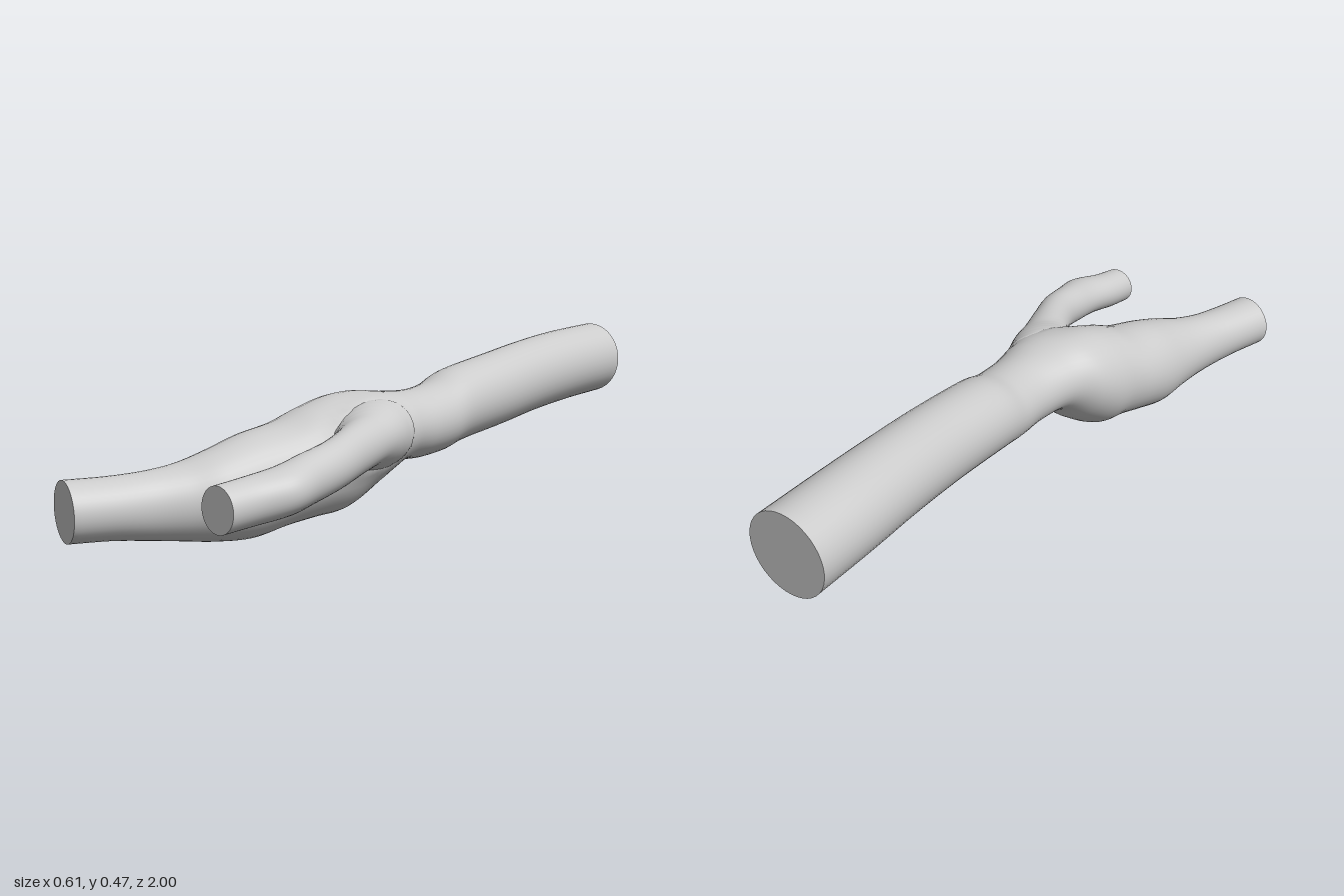
import * as THREE from 'three';

const SIDES = 40, STEPS = 110, BLEND = 0.07;

// Stations along each vessel: x, y, z, half width, half height, yaw
const TRUNK = [
  [-.067, .358, -1, .113, .113, 0], [-.055, .348, -.8, .112, .113, 0],
  [-.037, .332, -.6, .108, .112, 0], [-.018, .309, -.4, .107, .111, 0],
  [-.006, .284, -.2, .108, .107, 0], [.005, .26, -.1, .107, .1, 0],
  [.012, .252, 0, .108, .097, 0], [.003, .253, .1, .125, .1, 0],
  [-.025, .225, .18, .14, .135, 0], [-.04, .197, .26, .145, .155, .04],
  [-.055, .18, .34, .14, .148, .08], [-.075, .158, .42, .136, .138, .12],
  [-.095, .137, .52, .126, .137, .16], [-.11, .125, .62, .112, .118, .2],
  [-.135, .118, .7, .092, .1, .23], [-.163, .117, .78, .08, .088, .26],
  [-.193, .12, .87, .08, .08, .28], [-.228, .123, .975, .082, .078, .285],
];
const BRANCH = [
  [.03, .25, .02, .02, .02, 0], [.05, .255, .1, .05, .05, -.1],
  [.085, .257, .2, .078, .075, -.3], [.125, .25, .3, .07, .068, -.4],
  [.172, .24, .4, .058, .064, -.4], [.21, .227, .5, .056, .062, -.25],
  [.226, .211, .6, .06, .062, -.1], [.236, .196, .69, .068, .06, 0],
  [.217, .182, .78, .06, .058, 0], [.207, .173, .86, .056, .057, 0],
];

// Smoothly interpolated cross-sections
function sections(stations) {
  const curve = (from) => new THREE.CatmullRomCurve3(
    stations.map((s) => new THREE.Vector3(...s.slice(from, from + 3))), false, 'catmullrom', 0.5);
  const centres = curve(0), sizes = curve(3);
  return Array.from({ length: STEPS + 1 }, (_, i) => ({
    c: centres.getPoint(i / STEPS), s: sizes.getPoint(i / STEPS),
  }));
}

// Approximate signed distance from a point to a vessel
function distanceTo(rings, p) {
  if (p.z < rings[0].c.z || p.z > rings[STEPS].c.z) return Infinity;
  const { c, s } = rings.reduce((a, b) => (Math.abs(b.c.z - p.z) < Math.abs(a.c.z - p.z) ? b : a));
  return (Math.hypot((p.x - c.x) / s.x, (p.y - c.y) / s.y) - 1) * (s.x + s.y) / 2;
}

// Skin a vessel, swelling it where it meets the other one
function vessel(name, rings, other, material) {
  const pos = [], index = [];
  const ringPoint = ({ c, s }, j) => {
    const a = (j / SIDES) * Math.PI * 2, w = s.x * Math.cos(a);
    const p = new THREE.Vector3(c.x + w * Math.cos(s.z), c.y + s.y * Math.sin(a), c.z + w * Math.sin(s.z));
    const near = Math.max(0, 1 - Math.abs(distanceTo(other, p)) / BLEND);
    return p.addScaledVector(p.clone().sub(c).normalize(), BLEND / 4 * near * near);
  };
  rings.forEach((ring, i) => {
    for (let j = 0; j < SIDES; j++) {
      pos.push(...ringPoint(ring, j).toArray());
      if (i === STEPS) continue;
      const a = i * SIDES + j, b = i * SIDES + (j + 1) % SIDES;
      index.push(a, b, b + SIDES, a, b + SIDES, a + SIDES);
    }
  });
  // Flat end caps with their own vertices keep the cut edges sharp
  for (const i of [0, STEPS]) {
    const base = pos.length / 3;
    pos.push(...rings[i].c.toArray());
    for (let j = 0; j < SIDES; j++) {
      pos.push(...ringPoint(rings[i], j).toArray());
      const a = base + 1 + j, b = base + 1 + (j + 1) % SIDES;
      index.push(base, ...(i ? [a, b] : [b, a]));
    }
  }
  const geometry = new THREE.BufferGeometry();
  geometry.setAttribute('position', new THREE.Float32BufferAttribute(pos, 3));
  geometry.setIndex(index);
  geometry.computeVertexNormals();
  const mesh = new THREE.Mesh(geometry, material);
  mesh.name = name;
  return mesh;
}

export function createModel() {
  const group = new THREE.Group();
  group.name = 'forkedVessel';
  const material = new THREE.MeshStandardMaterial({ color: 0xcccccc });
  const trunk = sections(TRUNK), branch = sections(BRANCH);
  group.add(
    vessel('trunkAndBulb', trunk, branch, material),
    vessel('sideBranch', branch, trunk, material),
  );
  return group;
}
